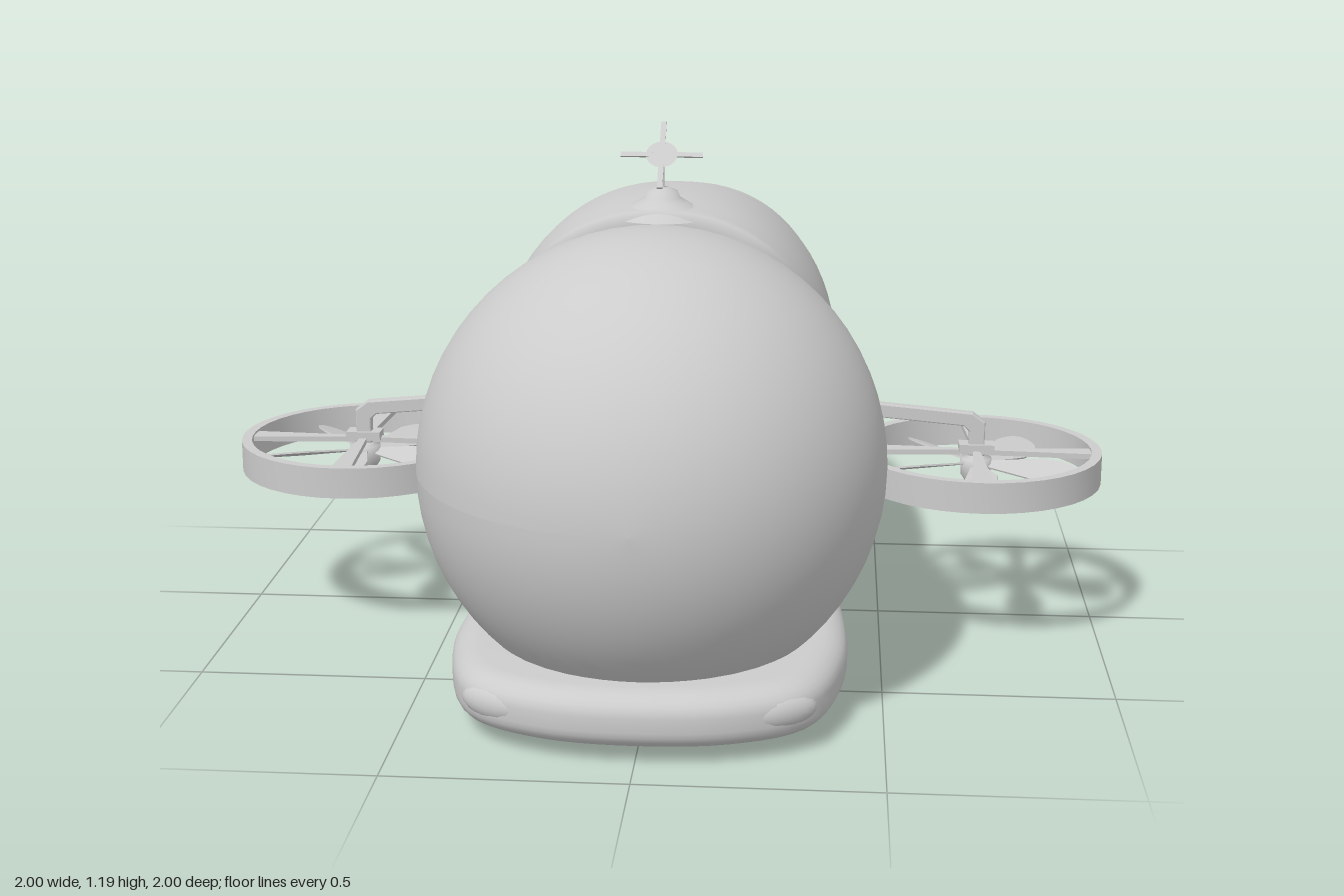
import * as THREE from 'three';
import { toCreasedNormals } from 'three/addons/utils/BufferGeometryUtils.js';

const grey = new THREE.MeshStandardMaterial({ color: 0xcccccc, side: THREE.DoubleSide });
const V2 = (x, y) => new THREE.Vector2(x, y);
const V3 = (x, y, z) => new THREE.Vector3(x, y, z);

function add(parent, name, geo, x = 0, y = 0, z = 0) {
  const m = new THREE.Mesh(geo, grey);
  m.name = name;
  m.position.set(x, y, z);
  parent.add(m);
  return m;
}

// Ring with a rectangular section around the y axis
function ringGeo(ri, ro, h, segs = 40) {
  const p = [V2(ri, -h / 2), V2(ro, -h / 2), V2(ro, h / 2), V2(ri, h / 2), V2(ri, -h / 2)];
  return toCreasedNormals(new THREE.LatheGeometry(p, segs), 0.6);
}

// Paddle blade lying along +x, pitched about its length
function bladeGeo(r0, r1, w, pitch) {
  const s = new THREE.Shape();
  const l = r1 - r0;
  s.moveTo(r0, -w * 0.25);
  s.lineTo(r0 + l * 0.6, -w);
  s.quadraticCurveTo(r1, -w, r1, 0);
  s.quadraticCurveTo(r1, w, r0 + l * 0.6, w);
  s.lineTo(r0, w * 0.25);
  const g = new THREE.ExtrudeGeometry(s, { depth: 0.004, bevelEnabled: false, curveSegments: 6 });
  return g.rotateX(-Math.PI / 2 + pitch);
}

// Blades and hub around the y axis
function fan(parent, count, r, w, hub, start = 0) {
  const g = new THREE.Group();
  g.name = 'fan';
  const blade = bladeGeo(hub * 0.6, r, w, 0.35);
  for (let i = 0; i < count; i++)
    add(g, 'blade', blade).rotation.y = start + (i * 2 * Math.PI) / count;
  add(g, 'hub', new THREE.SphereGeometry(hub, 16, 10)).scale.y = 0.6;
  parent.add(g);
  return g;
}

// Front edge of the hull: z by height
function edgeZ(y) {
  const k = THREE.MathUtils.smoothstep(y, 0.62, 0.97);
  return 0.12 + 0.16 * k + 0.06 * (1 - THREE.MathUtils.smoothstep(y, 0.1, 0.45));
}

// Hull skinned over superellipse sections: [z, half width, top, bottom]
function hullGeo() {
  const S = [
    [0.28, 0.39, 1.008, 0.1], [0.1, 0.396, 1.02, 0.1], [-0.1, 0.39, 1.012, 0.12],
    [-0.25, 0.385, 0.99, 0.125], [-0.38, 0.378, 0.957, 0.125], [-0.55, 0.365, 0.942, 0.125],
    [-0.7, 0.34, 0.908, 0.13], [-0.8, 0.285, 0.855, 0.135], [-0.88, 0.21, 0.79, 0.145],
    [-0.94, 0.145, 0.715, 0.18], [-0.98, 0.08, 0.63, 0.28], [-1, 0, 0.5, 0.46]];
  const A = new THREE.CatmullRomCurve3(S.map(s => V3(s[0], s[1], s[2])), false, 'catmullrom');
  const B = new THREE.CatmullRomCurve3(S.map(s => V3(s[0], s[3], 0)), false, 'catmullrom');
  const rows = 66, n = 72, pos = [], idx = [];
  for (let i = -1; i <= rows; i++) {
    const t = Math.max(i, 0) / rows, a = A.getPoint(t), b = B.getPoint(t);
    const k = i < 0 ? 0.93 : 1; // inward lip on the front edge
    const cy = (a.z + b.y) / 2, h = (a.z - b.y) / 2;
    for (let j = 0; j < n; j++) {
      const q = (j / n) * 2 * Math.PI, c = Math.cos(q), s = Math.sin(q);
      const e = 2 / (s > 0 ? 2.2 : 2.5);
      const y0 = h * Math.sign(s) * Math.abs(s) ** e;
      const z = a.x > -0.3 ? -0.3 + ((a.x + 0.3) * (edgeZ(cy + y0) + 0.3)) / 0.58 : a.x;
      pos.push(k * a.y * Math.sign(c) * Math.abs(c) ** e, cy + k * y0, z);
    }
  }
  for (let i = 0; i <= rows; i++)
    for (let j = 0; j < n; j++) {
      const p = i * n + j, r = i * n + ((j + 1) % n);
      idx.push(p, p + n, r, p + n, r + n, r);
    }
  const g = new THREE.BufferGeometry();
  g.setAttribute('position', new THREE.Float32BufferAttribute(pos, 3));
  g.setIndex(idx);
  g.computeVertexNormals();
  return g;
}

// Flat rounded slab with a plan outline in x and z
function baseGeo() {
  const half = [[0, 0.93], [0.2, 0.905], [0.35, 0.82], [0.415, 0.62], [0.42, 0.4],
    [0.385, 0.15], [0.3, -0.08], [0.17, -0.19], [0, -0.215]];
  const pts = half.map(p => V3(p[0], p[1], 0));
  for (let i = half.length - 2; i > 0; i--) pts.push(V3(-half[i][0], half[i][1], 0));
  const curve = new THREE.CatmullRomCurve3(pts, true);
  const shape = new THREE.Shape(curve.getPoints(80).slice(0, -1).map(p => V2(p.x, p.y)));
  const g = new THREE.ExtrudeGeometry(shape, { depth: 0.03, bevelThickness: 0.045,
    bevelSize: 0.06, bevelOffset: -0.06, bevelSegments: 6 });
  g.rotateX(Math.PI / 2).translate(0, 0.105, 0);
  return toCreasedNormals(g, 0.8);
}

// Ducted rotor on a bent arm, built for the left side
function rotor(side) {
  const g = new THREE.Group();
  g.name = 'rotor';
  g.position.set(side * 0.715, 0.395, 0.06);
  add(g, 'duct', ringGeo(0.262, 0.285, 0.07));
  fan(g, 5, 0.235, 0.042, 0.035, -Math.PI / 2).position.y = -0.005;
  const s = new THREE.Shape([V2(0.02, -0.008), V2(0.27, -0.024), V2(0.27, 0.024), V2(0.02, 0.008)]);
  const spoke = new THREE.ExtrudeGeometry(s, { depth: 0.012, bevelEnabled: false }).rotateX(-Math.PI / 2);
  for (let i = 0; i < 4; i++) add(g, 'spoke', spoke, 0, 0.018).rotation.y = (i * Math.PI) / 2;
  const cone = [V2(0, -0.068), V2(0.014, -0.06), V2(0.034, -0.03), V2(0.036, 0.01), V2(0, 0.015)];
  add(g, 'spinner', new THREE.LatheGeometry(cone, 20));
  add(g, 'hubBlock', new THREE.BoxGeometry(0.08, 0.02, 0.045), 0, 0.035);
  // Arm: a flat profile given depth
  const a = new THREE.Shape([V2(0.345, 0.145), V2(0.345, 0.118), V2(0.03, 0.09), V2(0.015, 0.076),
    V2(0.015, 0.02), V2(-0.015, 0.02), V2(-0.015, 0.095), V2(0.012, 0.115)]);
  const arm = new THREE.ExtrudeGeometry(a, { depth: 0.02, bevelThickness: 0.004, bevelSize: 0.003, bevelSegments: 2 });
  arm.translate(0, 0, -0.01);
  add(g, 'arm', arm).rotation.y = side > 0 ? Math.PI : 0;
  return g;
}

// Small fan set into the side of the tail
function sideThruster(side) {
  const g = new THREE.Group();
  g.name = 'sideThruster';
  g.position.set(side * 0.352, 0.475, -0.625);
  g.rotation.set(0, side * 0.1, -side * Math.PI / 2);
  add(g, 'rim', ringGeo(0.088, 0.096, 0.03, 32));
  fan(g, 5, 0.086, 0.019, 0.016, 0.3).position.y = 0.012;
  for (const x of [-1, 1])
    for (const z of [-1, 1]) {
      const m = add(g, 'clip', new THREE.SphereGeometry(1, 12, 8), x * 0.05, 0.003, z * 0.096);
      m.scale.set(0.026, 0.014, 0.009);
      m.rotation.y = x * z * 0.25;
    }
  return g;
}

export function createModel() {
  const model = new THREE.Group();
  model.name = 'airCraft';

  // Bubble canopy, longer toward the back
  const ball = new THREE.SphereGeometry(0.5, 64, 40).rotateX(Math.PI / 2);
  const p = ball.attributes.position;
  for (let i = 0; i < p.count; i++) {
    const z = p.getZ(i);
    p.setZ(i, z * (z > 0 ? 1.04 : 1.24));
  }
  ball.computeVertexNormals();
  add(model, 'canopy', ball, 0, 0.503, 0.478);

  add(model, 'hull', hullGeo());
  add(model, 'base', baseGeo());

  // Oval hatch under the base
  const hatch = [V2(0, 0.008), V2(0.87, 0.008), V2(0.9, 0), V2(0.95, 0), V2(1.05, 0.035)];
  add(model, 'bellyHatch', toCreasedNormals(new THREE.LatheGeometry(hatch, 48), 0.5), 0, 0, 0.49)
    .scale.set(0.31, 1, 0.235);

  for (const side of [1, -1]) {
    const lamp = add(model, 'lamp', new THREE.SphereGeometry(1, 20, 12), side * 0.29, 0.095, 0.84);
    lamp.scale.set(0.08, 0.036, 0.03);
    lamp.rotation.y = side * 0.5;
    model.add(rotor(side), sideThruster(side));
  }

  // Fan under the tail
  const tail = new THREE.Group();
  tail.name = 'tailThruster';
  tail.position.set(0, 0.16, -0.815);
  add(tail, 'rim', ringGeo(0.102, 0.116, 0.085, 32));
  fan(tail, 5, 0.1, 0.022, 0.018).position.y = -0.03;
  model.add(tail);

  // Mast with a small tilted propeller on the roof
  const mast = [V2(0.11, -0.03), V2(0.06, 0), V2(0.04, 0.012), V2(0.034, 0.026), V2(0.015, 0.034),
    V2(0.005, 0.036), V2(0.005, 0.1), V2(0, 0.1)];
  add(model, 'mast', new THREE.LatheGeometry(mast, 24), 0, 1.015, 0.2);
  const prop = new THREE.Group();
  prop.name = 'roofPropeller';
  prop.position.set(0, 1.122, 0.212);
  prop.rotation.x = Math.PI / 4;
  for (let i = 0; i < 4; i++) {
    const blade = new THREE.BoxGeometry(0.07, 0.004, 0.012).translate(0.055, 0, 0);
    add(prop, 'blade', blade).rotation.y = (i * Math.PI) / 2;
  }
  add(prop, 'hub', new THREE.CylinderGeometry(0.035, 0.008, 0.035, 20), 0, -0.016, 0);
  model.add(prop);
  return model;
}
